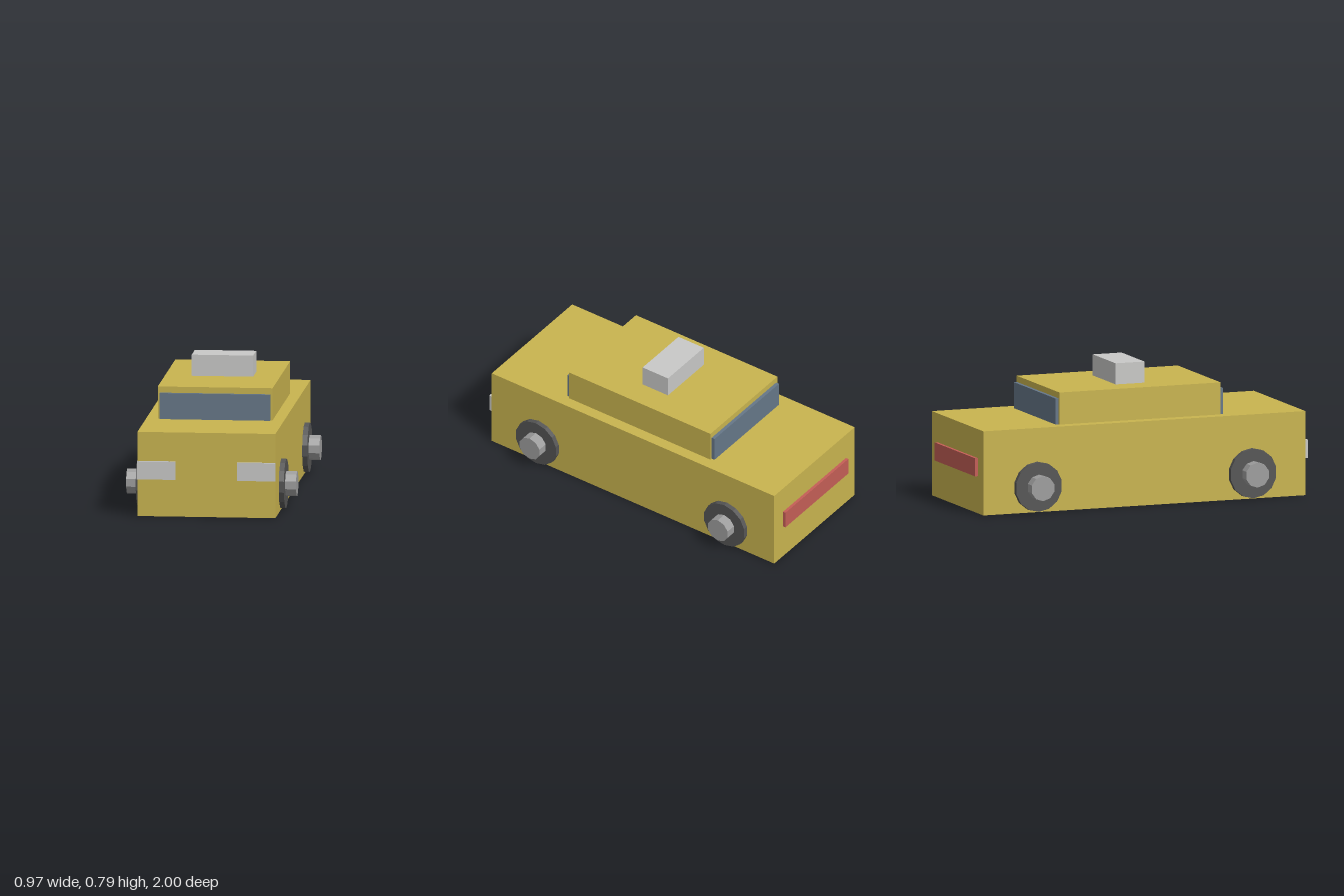
import * as THREE from 'three';

export function createModel() {
  const group = new THREE.Group();
  const paint = (name, color) => {
    const m = new THREE.MeshStandardMaterial({ color, flatShading: true });
    m.name = name;
    return m;
  };
  const yellow = paint('yellow paint', 0xc9b44f);
  const glass = paint('blue-grey glass', 0x667788);
  const white = paint('pale lamp', 0xc9c9c7);
  const red = paint('red lamp', 0xc45e56);
  const rubber = paint('dark rubber', 0x555555);
  const metal = paint('grey metal', 0x9e9e9e);

  // Box given by its lower and upper limits on each axis
  const box = (name, material, [x0, x1], [y0, y1], [z0, z1]) => {
    const mesh = new THREE.Mesh(new THREE.BoxGeometry(x1 - x0, y1 - y0, z1 - z0), material);
    mesh.position.set((x0 + x1) / 2, (y0 + y1) / 2, (z0 + z1) / 2);
    mesh.name = name;
    group.add(mesh);
  };

  // Body, cabin and roof sign
  box('body', yellow, [-0.393, 0.393], [0, 0.483], [-0.983, 0.983]);
  box('cabin', yellow, [-0.327, 0.327], [0.483, 0.667], [-0.492, 0.492]);
  box('roofSign', white, [-0.175, 0.175], [0.667, 0.788], [-0.088, 0.088]);

  // Windscreens
  box('windscreen', glass, [-0.315, 0.315], [0.483, 0.632], [0.492, 0.512]);
  box('rearWindow', glass, [-0.315, 0.315], [0.483, 0.632], [-0.512, -0.492]);

  // Lamps
  box('leftHeadlight', white, [0.175, 0.393], [0.213, 0.317], [0.983, 1]);
  box('rightHeadlight', white, [-0.393, -0.175], [0.213, 0.317], [0.983, 1]);
  box('tailLight', red, [-0.307, 0.307], [0.213, 0.317], [-1, -0.983]);

  // Wheels: a tyre disc with a protruding hub, corner pointing up
  const disc = (name, material, radius, sides, x0, x1, side, parent) => {
    const geometry = new THREE.CylinderGeometry(radius, radius, x1 - x0, sides, 1, false, Math.PI / 2);
    const mesh = new THREE.Mesh(geometry.rotateZ(Math.PI / 2), material);
    mesh.position.x = side * (x0 + x1) / 2;
    mesh.name = name;
    parent.add(mesh);
  };
  for (const side of [1, -1]) {
    for (const end of [1, -1]) {
      const wheel = new THREE.Group();
      wheel.name = (end > 0 ? 'front' : 'rear') + (side > 0 ? 'Left' : 'Right') + 'Wheel';
      wheel.position.set(0, 0.148, end * 0.655);
      disc('tyre', rubber, 0.142, 14, 0.36, 0.422, side, wheel);
      disc('hub', metal, 0.072, 10, 0.4, 0.484, side, wheel);
      group.add(wheel);
    }
  }
  return group;
}
